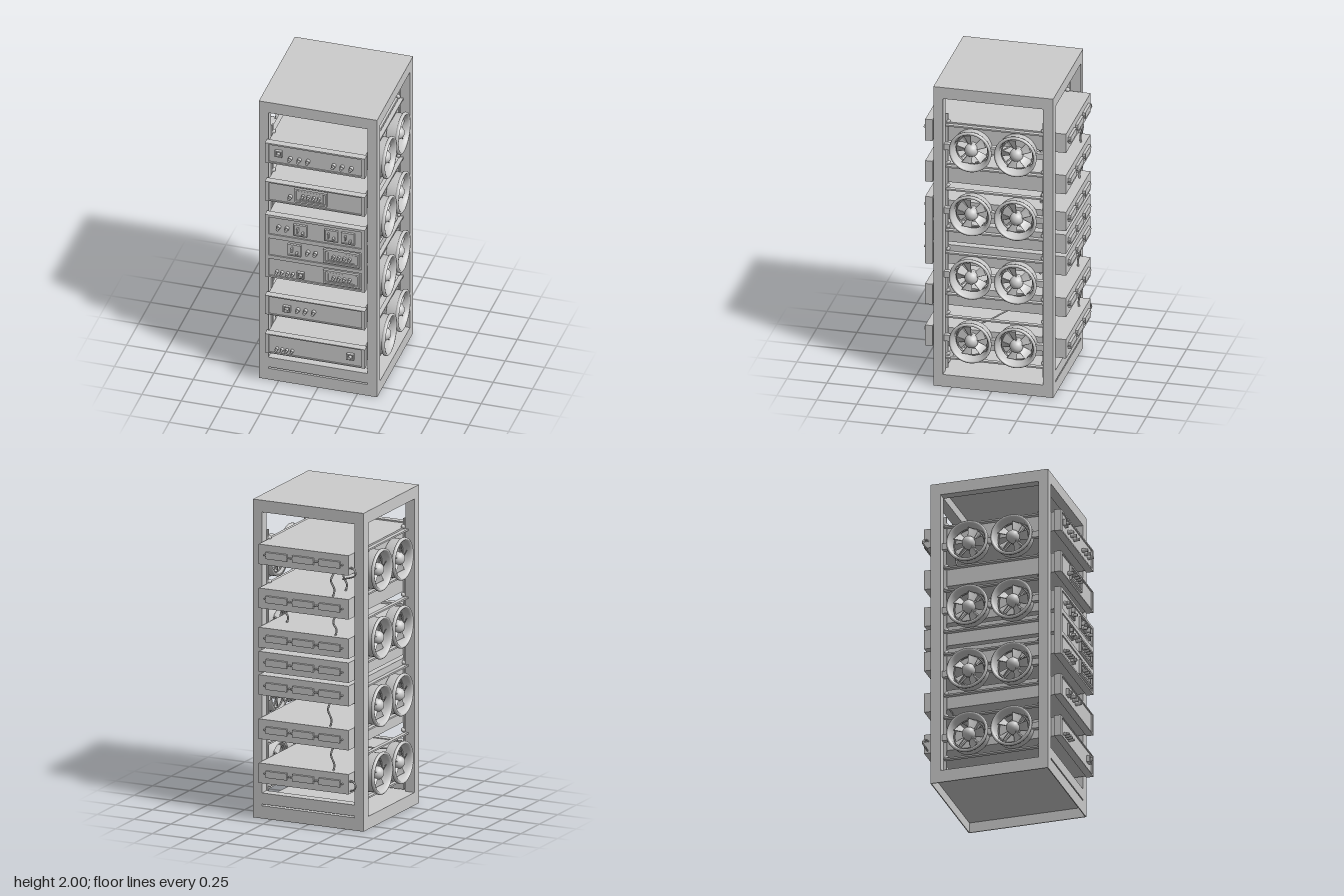
import * as THREE from 'three';

const mat = new THREE.MeshStandardMaterial({ color: 0xcccccc, side: THREE.DoubleSide });

function add(parent, name, geo, x = 0, y = 0, z = 0) {
  const m = new THREE.Mesh(geo, mat);
  m.name = name;
  m.position.set(x, y, z);
  parent.add(m);
  return m;
}

// box given by its minimum and maximum corners
function box(parent, name, x0, x1, y0, y1, z0, z1) {
  return add(parent, name, new THREE.BoxGeometry(x1 - x0, y1 - y0, z1 - z0),
    (x0 + x1) / 2, (y0 + y1) / 2, (z0 + z1) / 2);
}

// rectangular border facing +z, starting at depth z
function border(parent, name, w, h, t, depth, x, y, z) {
  const s = new THREE.Shape([[-w, -h], [w, -h], [w, h], [-w, h]].map(([a, b]) => new THREE.Vector2(a / 2, b / 2)));
  const i = w / 2 - t, j = h / 2 - t;
  s.holes.push(new THREE.Path([[-i, -j], [-i, j], [i, j], [i, -j]].map(([a, b]) => new THREE.Vector2(a, b))));
  return add(parent, name, new THREE.ExtrudeGeometry(s, { depth, bevelEnabled: false }), x, y, z);
}

function tube(parent, name, pts, r, seg = 28) {
  const curve = new THREE.CatmullRomCurve3(pts.map(p => new THREE.Vector3(...p)));
  return add(parent, name, new THREE.TubeGeometry(curve, seg, r, 6), 0, 0, 0);
}

const X = 0.375, ZF = 0.365, ZB = -0.385, XI = 0.315, ZFI = 0.305, ZBI = -0.32;

function cabinet() {
  const g = new THREE.Group();
  g.name = 'cabinet';
  box(g, 'roof', -X, X, 1.985, 2, ZB, ZF);
  box(g, 'floor', -X, X, 0.065, 0.08, ZB, ZF);
  for (const s of [-1, 1]) {
    const [a, b] = s > 0 ? [XI, X] : [-X, -XI];
    box(g, 'frontPost', a, b, 0.08, 1.985, ZFI, ZF);
    box(g, 'backPost', a, b, 0.08, 1.985, ZB, ZBI);
    box(g, 'sideTopBeam', a, b, 1.925, 1.985, ZBI, ZFI);
    box(g, 'baseSideSkirt', s > 0 ? X - 0.006 : -X, s > 0 ? X : -X + 0.006, 0, 0.065, ZB, ZF);
    // mounting rails on the inner faces of the posts
    for (const z of [0.296, -0.311]) box(g, 'mountingRail', s * 0.311 - 0.004, s * 0.311 + 0.004, 0.1, 1.8, z - 0.009, z + 0.009);
  }
  for (const [z0, z1, zs] of [[ZFI, ZF, ZF - 0.006], [ZB, ZBI, ZB]]) {
    box(g, 'endTopBeam', -XI, XI, 1.925, 1.985, z0, z1);
    box(g, 'lowerCrossPanel', -XI, XI, 0.09, 0.16, z0, z1);
    box(g, 'baseEndSkirt', -X, X, 0, 0.065, zs, zs + 0.006);
  }
  return g;
}

// fan with its axis along +z, back at z = 0, rim at z = 0.083
function fan() {
  const g = new THREE.Group();
  g.name = 'fan';
  const ring = (name, pts, seg = 36) => add(g, name,
    new THREE.LatheGeometry(pts.map(p => new THREE.Vector2(...p)), seg).rotateX(Math.PI / 2));
  ring('fanDuct', [[0.108, 0], [0.122, 0], [0.122, 0.058], [0.131, 0.062], [0.133, 0.07], [0.131, 0.079], [0.125, 0.083],
    [0.118, 0.081], [0.112, 0.07], [0.108, 0.05], [0.108, 0]]);
  add(g, 'fanInnerRing', new THREE.TorusGeometry(0.098, 0.005, 6, 36), 0, 0, 0.022);
  add(g, 'fanHub', new THREE.SphereGeometry(0.042, 20, 14), 0, 0, 0.04);
  add(g, 'fanMotor', new THREE.CylinderGeometry(0.036, 0.036, 0.04, 20).rotateX(Math.PI / 2), 0, 0, 0.02);
  for (let i = 0; i < 5; i++) {
    const arm = new THREE.Group();
    arm.name = 'fanBladeArm';
    arm.rotation.z = i * Math.PI * 0.4 + 0.3;
    // blade widens and untwists towards its tip
    const geo = new THREE.BoxGeometry(0.062, 1, 0.005, 1, 5, 1).translate(0, 0.5, 0);
    const p = geo.attributes.position;
    for (let k = 0; k < p.count; k++) {
      const t = p.getY(k), a = 0.95 - 0.45 * t, w = p.getX(k) * (0.65 + 0.4 * t), d = p.getZ(k);
      p.setXYZ(k, w * Math.cos(a) - d * Math.sin(a), 0.032 + 0.063 * t, w * Math.sin(a) + d * Math.cos(a));
    }
    geo.computeVertexNormals();
    add(arm, 'fanBlade', geo, 0, 0, 0.036);
    g.add(arm);
  }
  for (let i = 0; i < 4; i++) {
    const spoke = add(g, 'fanSpoke', new THREE.BoxGeometry(0.01, 0.11, 0.006).translate(0, 0.055, 0), 0, 0, 0.005);
    spoke.rotation.z = Math.PI / 4 + i * Math.PI / 2;
  }
  return g;
}

// one row of two fans with its mounting strips, built on the +x side
function fanRow(y) {
  const g = new THREE.Group();
  g.name = 'fanRow';
  for (const z of [0.133, -0.149]) {
    const f = fan();
    f.rotation.y = Math.PI / 2;
    f.position.set(0.31, y, z);
    g.add(f);
  }
  for (const dy of [-0.138, 0.138]) {
    box(g, 'fanRail', 0.308, 0.335, y + dy - 0.005, y + dy + 0.005, -0.315, 0.3);
    for (const z of [0.29, -0.305]) add(g, 'railBolt', new THREE.SphereGeometry(0.014, 10, 8), 0.305, y + dy + 0.02, z);
  }
  for (const [a, b] of [[-0.32, -0.27], [-0.03, 0.015], [0.253, 0.305]])
    box(g, 'fanBracket', 0.315, 0.345, y - 0.02, y + 0.02, a, b);
  return g;
}

const FACE = 0.422;

function knob(g, x, y, r = 0.013) {
  add(g, 'knobBase', new THREE.CylinderGeometry(r, r, 0.022, 14).rotateX(Math.PI / 2), x, y, FACE + 0.011);
  add(g, 'knobCap', new THREE.CylinderGeometry(r * 0.75, r * 0.75, 0.018, 14).rotateX(Math.PI / 2), x, y - r * 0.2, FACE + 0.028);
}

function rocker(g, x, y) {
  border(g, 'switchFrame', 0.046, 0.042, 0.007, 0.02, x, y, FACE);
  add(g, 'switchBase', new THREE.BoxGeometry(0.034, 0.03, 0.01), x, y, FACE + 0.005);
  add(g, 'switchButton', new THREE.CylinderGeometry(0.011, 0.011, 0.034, 12).rotateX(Math.PI / 2), x, y, FACE + 0.017);
}

function socket(g, x, y) {
  border(g, 'socketFrame', 0.085, 0.08, 0.006, 0.014, x, y, FACE);
  add(g, 'socketPlate', new THREE.BoxGeometry(0.075, 0.07, 0.008), x, y, FACE + 0.004);
  add(g, 'socketToggle', new THREE.BoxGeometry(0.01, 0.028, 0.03), x - 0.014, y + 0.006, FACE + 0.015);
  add(g, 'socketToggle', new THREE.BoxGeometry(0.012, 0.016, 0.034), x + 0.018, y - 0.014, FACE + 0.017);
}

function display(g, x, y, w) {
  border(g, 'displayFrame', w, 0.096, 0.012, 0.016, x, y, FACE);
  border(g, 'displayInnerFrame', w - 0.05, 0.066, 0.006, 0.012, x, y, FACE);
  add(g, 'displayPanel', new THREE.BoxGeometry(w - 0.02, 0.08, 0.006), x, y, FACE + 0.003);
  for (let i = 0; i < 4; i++) knob(g, x - 0.05 + i * 0.034, y, 0.011);
}

// [centre y, plate height, controls]; controls: k knob, s small knob, r rocker, q socket, d display
const UNITS = [
  [1.678, 0.142, [['r', -0.23, 0.01], ...[-0.157, -0.1, -0.045, 0.119, 0.172, 0.23].map(x => ['k', x, -0.015])]],
  [1.402, 0.138, [['k', -0.157, -0.015], ['d', -0.025, 0.006, 0.206]]],
  [1.155, 0.154, [['k', -0.23, 0], ['k', -0.178, 0], ['q', -0.093, 0], ['q', 0.103, 0], ['q', 0.209, 0]]],
  [1.004, 0.148, [['q', -0.13, 0.003], ['k', -0.045, 0.003], ['k', 0.003, 0.003], ['d', 0.169, 0.002, 0.228]]],
  [0.857, 0.146, [...[-0.241, -0.208, -0.173, -0.14].map(x => ['s', x, -0.026]), ['r', -0.09, -0.021], ['d', 0.169, 0, 0.228]]],
  [0.58, 0.136, [['r', -0.178, -0.004], ['k', -0.108, 0], ['k', -0.06, 0], ['k', -0.008, 0]]],
  [0.303, 0.136, [...[-0.241, -0.208, -0.178, -0.145].map(x => ['s', x, -0.028]), ['r', 0.225, 0.004]]],
];

function unit([y, h, controls]) {
  const g = new THREE.Group();
  g.name = 'equipmentUnit';
  add(g, 'unitBody', new THREE.BoxGeometry(0.61, 0.126, 0.87), 0, y, FACE - 0.435);
  border(g, 'faceplate', 0.634, h, (h - 0.122) / 2, 0.045, 0, y, 0.385);
  for (const s of [-1, 1]) box(g, 'faceplateEnd', s * 0.306 - 0.011, s * 0.306 + 0.011, y - h / 2, y + h / 2, 0.386, 0.43);
  for (const [type, x, dy, w] of controls) {
    if (type === 'k') knob(g, x, y + dy);
    if (type === 's') knob(g, x, y + dy, 0.01);
    if (type === 'r') rocker(g, x, y + dy);
    if (type === 'q') socket(g, x, y + dy);
    if (type === 'd') display(g, x, y + dy, w);
  }
  // rear connectors with wire clips at both ends
  for (const x of [-0.18, 0, 0.18]) {
    box(g, 'rearConnector', x - 0.071, x + 0.071, y - 0.021, y + 0.021, -0.465, -0.447);
    for (const s of [-1, 1]) tube(g, 'connectorClip', [[x + s * 0.068, y, -0.459], [x + s * 0.08, y, -0.46],
      [x + s * 0.085, y, -0.454], [x + s * 0.085, y, -0.446]], 0.005, 8);
  }
  return g;
}

function cables() {
  const g = new THREE.Group();
  g.name = 'cables';
  // crossing pairs in the gaps between units
  for (const y of [1.535, 0.715, 0.445]) for (const s of [-1, 1])
    tube(g, 'crossCable', [[s * 0.3, y + 0.075, -0.29], [s * 0.24, y + 0.045, -0.27], [s * 0.1, y + 0.012, -0.2],
      [-s * 0.1, y - 0.012, -0.05], [-s * 0.24, y - 0.045, 0.07], [-s * 0.3, y - 0.05, 0.12]], 0.005);
  // short links from one unit to the next
  for (const [x, a, b, z] of [[-0.19, 1.63, 1.45, -0.42], [-0.2, 1.36, 1.2, -0.41], [0.2, 1.36, 1.2, -0.27],
    [-0.165, 0.82, 0.62, -0.41], [-0.185, 0.54, 0.34, -0.41], [-0.2, 1.62, 1.45, -0.27]])
    tube(g, 'linkCable', [[x - 0.01, a, z], [x + 0.012, a - (a - b) * 0.35, z - 0.012],
      [x - 0.002, a - (a - b) * 0.7, z + 0.006], [x + 0.01, b, z]], 0.006);
  // loops leaving the right end of the top and bottom units
  for (const [a, b] of [[1.66, 1.61], [0.32, 0.27]]) for (const k of [0, 1])
    tube(g, 'sideLoop', [[-0.3, a, -0.42 - k * 0.015], [-0.335, a - 0.004, -0.43 - k * 0.008], [-0.35, (a + b) / 2, -0.443],
      [-0.335, b, -0.432], [-0.25, b - 0.03, -0.42]], 0.005);
  return g;
}

export function createModel() {
  const model = new THREE.Group();
  model.name = 'equipmentRack';
  model.add(cabinet(), cables());
  UNITS.forEach(u => model.add(unit(u)));
  for (const y of [1.59, 1.163, 0.737, 0.311]) {
    const left = fanRow(y), right = fanRow(y);
    right.scale.x = -1;
    model.add(left, right);
  }
  return model;
}
